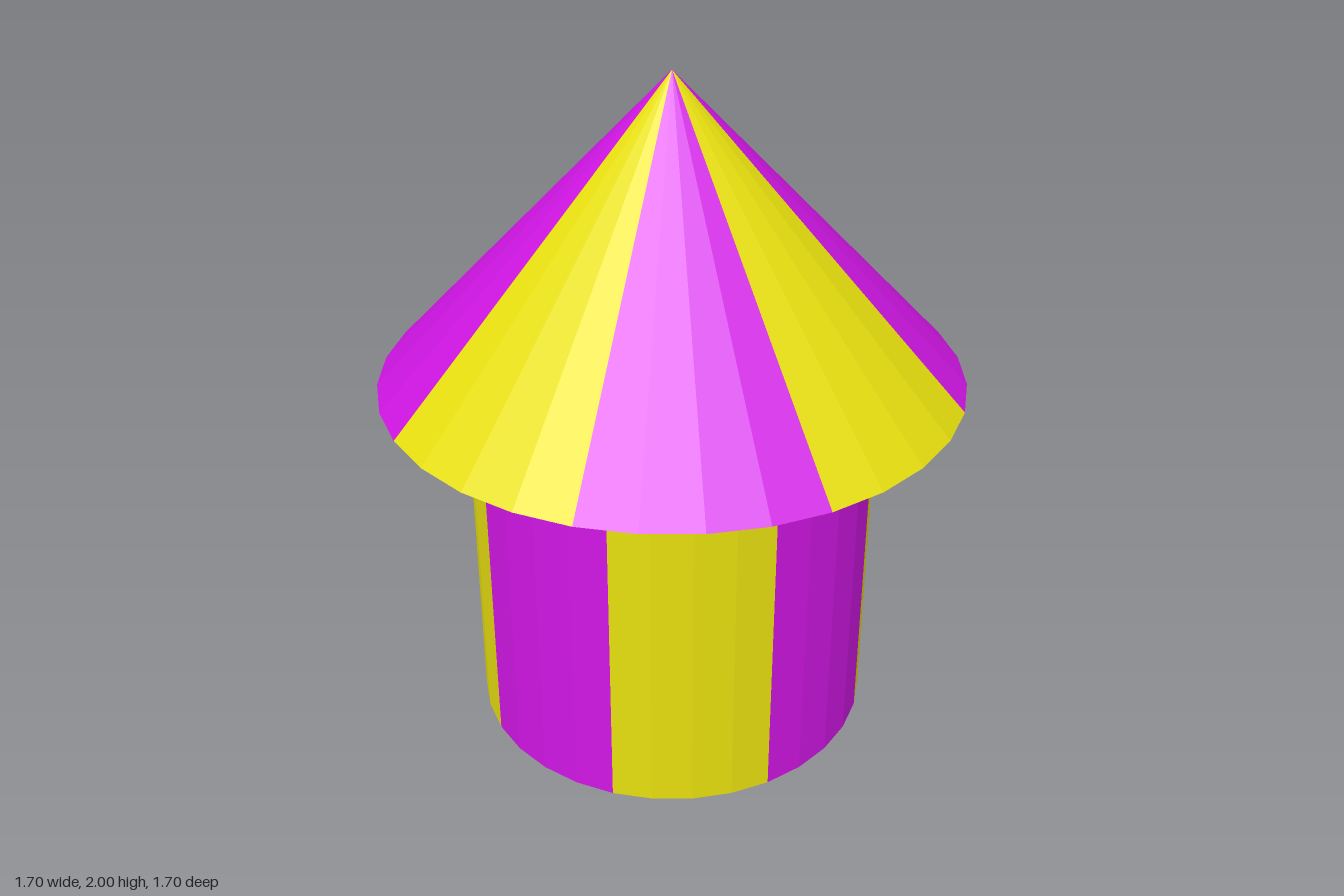
import * as THREE from 'three';

const yellow = new THREE.MeshStandardMaterial({ color: 0xe6de0f, flatShading: true });
const magenta = new THREE.MeshStandardMaterial({ color: 0xd016e4, flatShading: true });

// Eight 45 degree wedges of a turned profile, in alternating colours;
// the first wedge is centred on the front.
function stripedTurning(name, profile, colors) {
  const group = new THREE.Group();
  group.name = name;
  const points = profile.map(([r, y]) => new THREE.Vector2(r, y));
  const step = Math.PI / 4;
  for (let i = 0; i < 8; i++) {
    const geometry = new THREE.LatheGeometry(points, 4, (i - 0.5) * step, step);
    const wedge = new THREE.Mesh(geometry, colors[i % 2]);
    wedge.name = name + 'Stripe' + (i + 1);
    group.add(wedge);
  }
  return group;
}

export function createModel() {
  const model = new THREE.Group();
  model.name = 'stripedTent';

  // Round wall with its floor
  model.add(stripedTurning('wall', [[0, 0], [0.6, 0], [0.6, 1.1]], [magenta, yellow]));

  // Overhanging conical roof with a flat underside
  model.add(stripedTurning('roof', [[0, 1.1], [0.85, 1.1], [0, 2]], [yellow, magenta]));

  return model;
}
